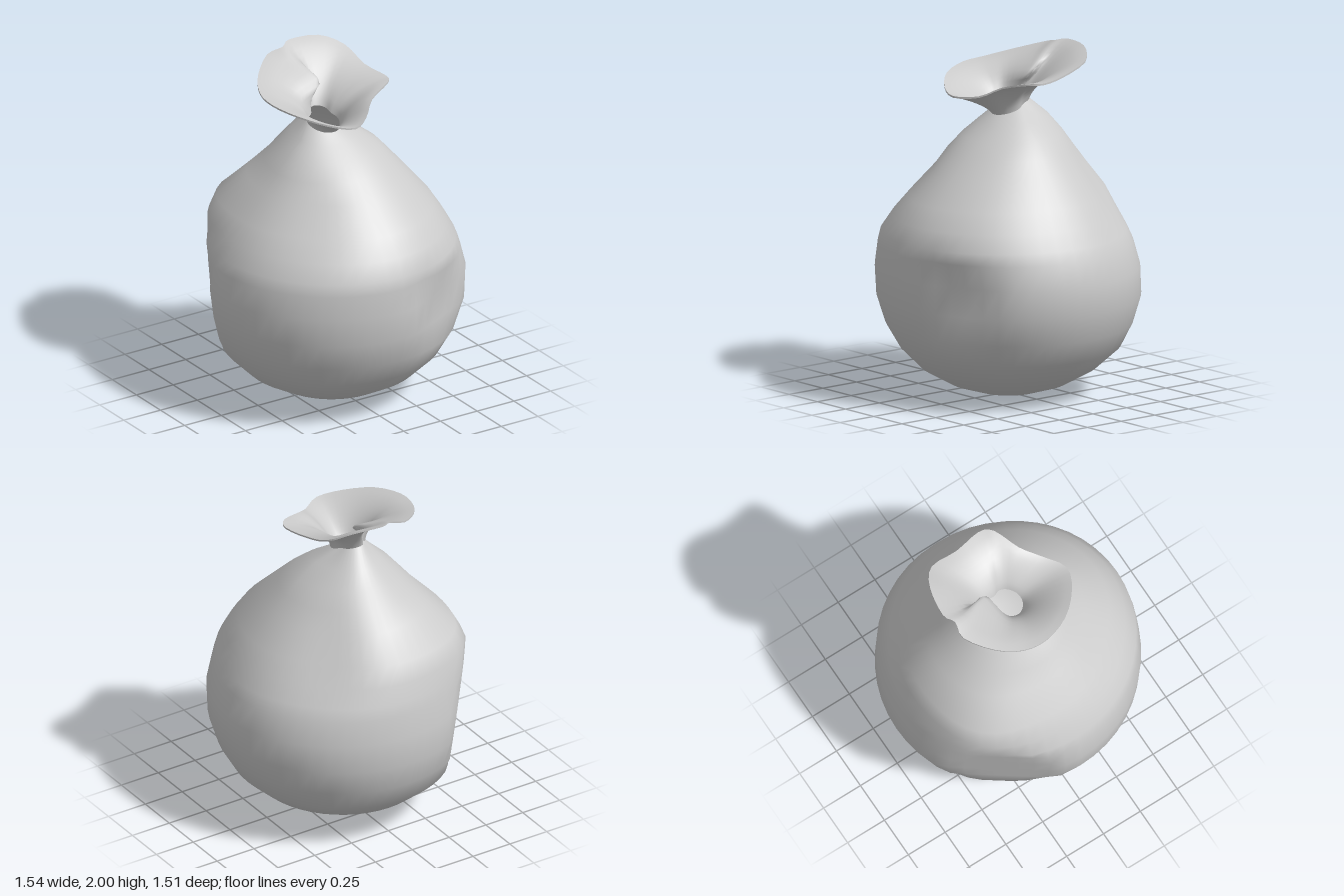
import * as THREE from 'three';

const N = 48;
const TAU = Math.PI * 2;
const V = (x, y, z) => new THREE.Vector3(x, y, z);
const bump = (v, mid, width) => Math.exp(-(((v - mid) / width) ** 2));

// Skin a list of closed rings (bottom to top) with smooth normals.
function loft(rings) {
  const pos = [], idx = [];
  rings.forEach(ring => ring.forEach(p => pos.push(p.x, p.y, p.z)));
  for (let r = 0; r < rings.length - 1; r++) {
    for (let i = 0; i < N; i++) {
      const j = (i + 1) % N;
      const a = r * N + i, b = r * N + j, c = b + N, d = a + N;
      idx.push(a, b, c, a, c, d);
    }
  }
  const g = new THREE.BufferGeometry();
  g.setAttribute('position', new THREE.Float32BufferAttribute(pos, 3));
  g.setIndex(idx);
  g.computeVertexNormals();
  return g;
}

const ring = fn => Array.from({ length: N }, (_, i) => fn((i / N) * TAU, i));

// Tied neck: small ring, higher at the back, pinched at the back left and right.
function throat(t) {
  const pinch = 1 - 0.3 * bump(t, 3.95, 0.5) - 0.2 * bump(t, 1.9, 0.4);
  return V(-0.035 + 0.105 * Math.sin(t) * pinch, 1.665 - 0.04 * Math.cos(t),
    -0.04 + 0.115 * Math.cos(t) * pinch);
}

// Body levels: height, then reach to -x, +x, front, back.
const levels = [
  [0.002, 0.001, 0.001, 0.001, 0.001],
  [0.02, 0.18, 0.18, 0.18, 0.18],
  [0.07, 0.34, 0.34, 0.34, 0.34],
  [0.16, 0.5, 0.5, 0.5, 0.51],
  [0.28, 0.62, 0.63, 0.62, 0.65],
  [0.42, 0.705, 0.71, 0.7, 0.71],
  [0.58, 0.757, 0.76, 0.75, 0.755],
  [0.75, 0.77, 0.767, 0.757, 0.742],
  [0.89, 0.74, 0.725, 0.751, 0.72],
  [0.96, 0.718, 0.695, 0.742, 0.7],
  [1.06, 0.66, 0.64, 0.69, 0.665],
  [1.17, 0.59, 0.57, 0.61, 0.62],
  [1.32, 0.45, 0.445, 0.455, 0.495],
  [1.42, 0.37, 0.36, 0.35, 0.41],
  [1.51, 0.295, 0.28, 0.25, 0.335],
  [1.59, 0.21, 0.17, 0.15, 0.26],
];

// Flattened patches: outward direction, distance at height 0.7, lean, bottom, top fade.
const dents = [
  { n: V(0.45, 0, 0.89), dist: 0.7, lean: 0, low: 0.3, fade: [0.75, 0.96] },
  { n: V(-0.81, 0, -0.58), dist: 0.67, lean: 0.13, low: 0.2, fade: [1.1, 1.3] },
];

// Broad swells (+) and hollows (-): angle, height, height spread, depth.
const swells = [
  [2.36, 1.18, 0.22, -0.065],
  [3.93, 1.15, 0.18, 0.065],
  [5.5, 1.22, 0.16, -0.04],
];

function bodyGeometry() {
  const rings = levels.map(([y, xl, xr, zf, zb]) => ring(t => {
    const s = Math.sin(t), c = Math.cos(t);
    // Upper levels rise a little toward the back.
    const tilt = y > 1.45 ? -0.02 * c * (y - 1.45) / 0.14 : 0;
    const p = V(s * (s > 0 ? xr : xl), y + tilt, c * (c > 0 ? zf : zb));
    let push = 0;
    for (const [angle, mid, spread, depth] of swells) {
      push += depth * bump(t, angle, 0.45) * bump(y, mid, spread);
    }
    // Small pocket under the front crease.
    push -= 0.04 * bump(t, 0.22, 0.13) * bump(y, 0.86, 0.05);
    p.x += s * push;
    p.z += c * push;
    for (const { n, dist, lean, low, fade } of dents) {
      const over = p.dot(n) - dist - lean * (y - 0.7);
      if (over > 0 && y > low) {
        p.addScaledVector(n, -over * (1 - THREE.MathUtils.smoothstep(y, ...fade)));
      }
    }
    return p;
  }));
  rings.push(ring(throat));
  return loft(rings);
}

// Wavy rim of the open mouth, from the front round by +x.
const rim = new THREE.CatmullRomCurve3([
  V(-0.07, 1.757, 0.355), V(0.06, 1.765, 0.27), V(0.16, 1.82, 0.18), V(0.31, 1.855, 0.11),
  V(0.352, 1.855, 0.03), V(0.32, 1.87, -0.14), V(0.3, 1.93, -0.32), V(0.18, 1.985, -0.41),
  V(0, 1.99, -0.44), V(-0.07, 1.975, -0.402), V(-0.17, 1.95, -0.41), V(-0.31, 1.9, -0.29),
  V(-0.39, 1.865, -0.15), V(-0.405, 1.85, 0), V(-0.34, 1.825, 0.17), V(-0.21, 1.785, 0.3),
], true, 'catmullrom', 0.5);

// Ring of the flared mouth at f = 0 (neck) to 1 (rim).
function mouthRing(f, thick) {
  return ring((t, i) => {
    const a = throat(t), b = rim.getPoint(i / N);
    // Front and back spread out straighter than the sides.
    const curl = 1.7 - 0.45 * Math.abs(Math.cos(t));
    const out = f ** curl, up = 1 - (1 - f) ** curl;
    const p = V(
      THREE.MathUtils.lerp(a.x, b.x, out),
      THREE.MathUtils.lerp(a.y, b.y, up),
      THREE.MathUtils.lerp(a.z, b.z, out));
    // Fold of cloth sagging inward at the back left.
    const fold = bump(t, 3.75, 0.5) * bump(f, 0.47, 0.23);
    p.x += 0.1 * fold;
    p.z += 0.07 * fold;
    // Inner skin sits just inside the outer one.
    p.x -= Math.sin(t) * thick * (1 - f);
    p.z -= Math.cos(t) * thick * (1 - f);
    p.y += thick * f;
    return p;
  });
}

export function createModel() {
  const group = new THREE.Group();
  const mat = new THREE.MeshStandardMaterial({ color: 0xcccccc, side: THREE.DoubleSide });
  const add = (parent, name, geo) => {
    const mesh = new THREE.Mesh(geo, mat);
    mesh.name = name;
    parent.add(mesh);
  };

  add(group, 'sackBody', bodyGeometry());

  const mouth = new THREE.Group();
  mouth.name = 'sackMouth';
  const steps = Array.from({ length: 11 }, (_, k) => k / 10);
  const thick = 0.01;
  add(mouth, 'mouthOuter', loft(steps.map(f => mouthRing(f, 0))));
  add(mouth, 'mouthInner', loft(steps.map(f => mouthRing(1 - f, thick))));
  add(mouth, 'mouthLip', loft([mouthRing(1, 0), mouthRing(1, thick)]));
  group.add(mouth);

  return group;
}
